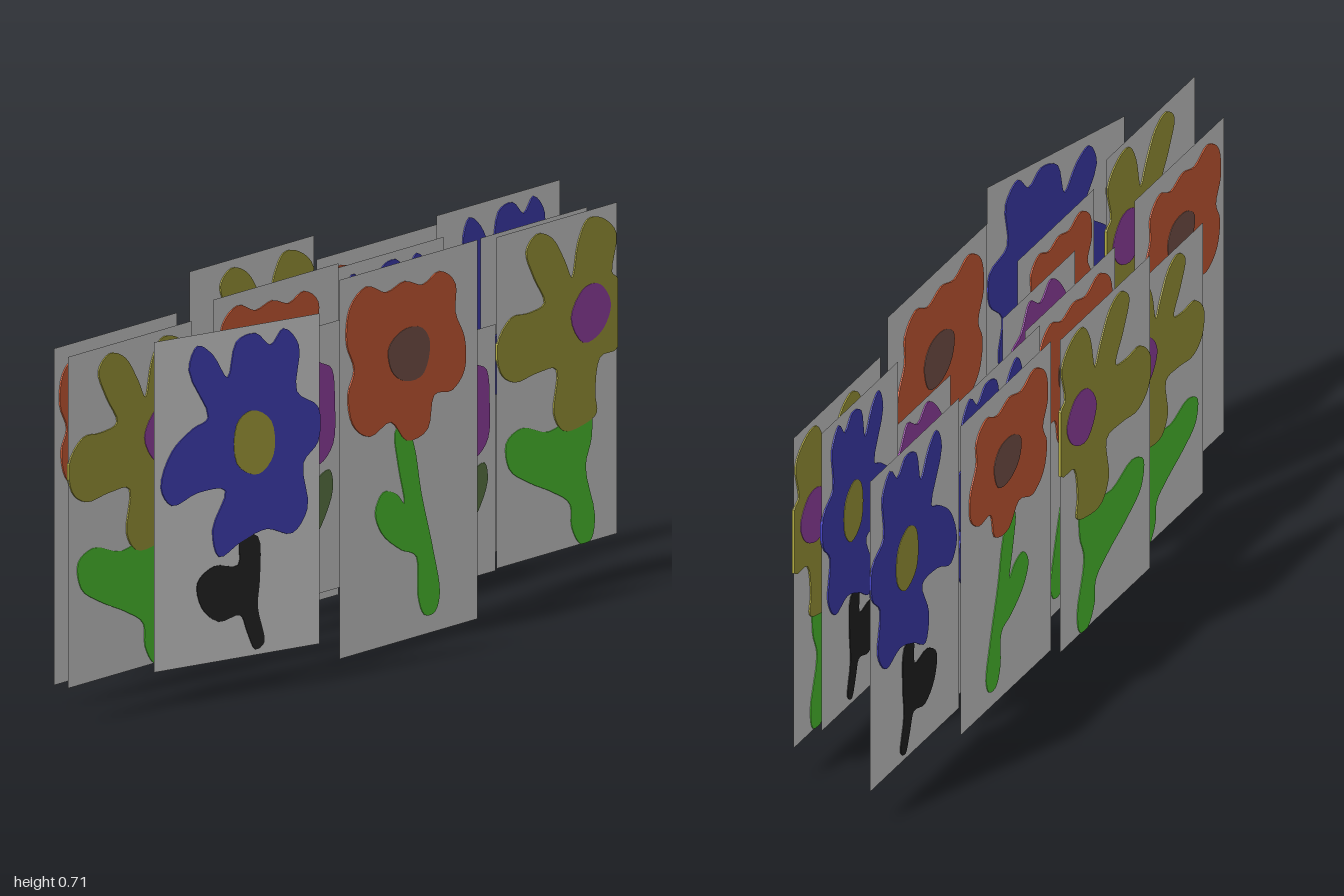
import * as THREE from 'three';

const mat = (name, color) => {
  const m = new THREE.MeshStandardMaterial({ color, side: THREE.DoubleSide });
  m.name = name;
  return m;
};
const paper = mat('paper white', 0xf6f6f6);
const orange = mat('orange', 0xee6c40);
const brown = mat('brown', 0x8a6055);
const green = mat('leaf green', 0x5ade38);
const blue = mat('blue', 0x4846c8);
const yellow = mat('mustard yellow', 0xb4ae42);
const black = mat('black', 0x282828);
const purple = mat('purple', 0xaa4cbc);
const darkGreen = mat('dark green', 0x6c8c52);

// Painted outlines as x, y pairs measured from each card's top left corner
const designs = {
  orange: {
    size: [90, 133],
    colors: [orange, brown, green],
    petals: [6, 11, 17, 5, 30, 9, 42, 7, 54, 10, 65, 7, 75, 13, 75, 23, 81, 33, 81, 44, 73, 50, 61, 50,
      57, 61, 43, 63, 33, 55, 19, 58, 8, 52, 5, 41, 9, 33, 4, 23],
    heart: [31, 29, 40, 24, 53, 25, 58, 31, 54, 41, 42, 42, 33, 37],
    stem: [36, 59, 42, 57, 48, 65, 53, 83, 61, 105, 65, 120, 62, 126, 55, 126, 51, 119, 50, 105, 40, 101,
      27, 93, 23, 85, 28, 79, 37, 81, 42, 85, 38, 71],
  },
  blue: {
    size: [77, 117],
    colors: [blue, yellow, black],
    petals: [16, 12, 20, 4, 27, 8, 34, 17, 38, 5, 47, 3, 54, 8, 60, 3, 67, 10, 66, 26, 76, 33, 76, 45,
      69, 52, 71, 68, 64, 76, 52, 73, 40, 76, 30, 80, 27, 70, 33, 57, 20, 56, 8, 59, 3, 52, 8, 40, 18, 33, 25, 30],
    heart: [38, 34, 45, 30, 54, 35, 55, 47, 48, 53, 38, 48],
    stem: [40, 75, 48, 75, 49, 90, 48, 100, 51, 113, 47, 115, 43, 108, 40, 102, 30, 103, 22, 97, 20, 88,
      28, 83, 39, 84],
  },
  yellow: {
    size: [79, 117],
    colors: [yellow, purple, green],
    petals: [0, 38, 9, 30, 21, 30, 31, 28, 24, 18, 19, 8, 26, 3, 36, 6, 44, 15, 49, 22, 53, 10, 59, 3,
      69, 4, 78, 11, 75, 24, 79, 27, 79, 51, 67, 53, 64, 65, 65, 72, 56, 75, 43, 75, 37, 68, 39, 53, 26, 52,
      11, 53, 2, 48],
    heart: [48, 36, 56, 27, 67, 27, 74, 35, 69, 43, 56, 46],
    stem: [51, 70, 61, 66, 62, 80, 58, 90, 64, 108, 62, 116, 55, 117, 49, 110, 48, 102, 37, 96, 21, 90,
      8, 83, 6, 74, 16, 70, 34, 74],
  },
  purple: {
    size: [66, 93],
    colors: [purple, black, darkGreen],
    petals: [15, 6, 23, 2, 32, 7, 42, 3, 50, 12, 59, 16, 61, 28, 60, 42, 51, 48, 42, 45, 34, 50, 24, 46,
      12, 47, 7, 38, 11, 28, 7, 17],
    heart: [21, 28, 28, 23, 39, 25, 44, 31, 36, 35, 25, 34],
    stem: [29, 47, 36, 47, 38, 62, 48, 54, 58, 51, 60, 58, 52, 70, 41, 78, 40, 88, 34, 89, 30, 82, 22, 76,
      18, 64, 22, 57, 30, 65],
  },
};

// A thin painted plate that straddles the card, so it shows on both sides
function plate(name, pairs, design, w, h, thick, material) {
  const [dw, dh] = design.size;
  const pts = [];
  for (let i = 0; i < pairs.length; i += 2) {
    pts.push(new THREE.Vector3((pairs[i] / dw - 0.5) * w, (1 - pairs[i + 1] / dh) * h, 0));
  }
  const curve = new THREE.CatmullRomCurve3(pts, true, 'centripetal');
  const outline = curve.getPoints(pts.length * 4).slice(0, -1).map((p) =>
    new THREE.Vector2(THREE.MathUtils.clamp(p.x, -w / 2, w / 2), THREE.MathUtils.clamp(p.y, 0, h)));
  const geo = new THREE.ExtrudeGeometry(new THREE.Shape(outline), { depth: thick, bevelEnabled: false });
  geo.translate(0, 0, -thick / 2);
  const mesh = new THREE.Mesh(geo, material);
  mesh.name = name;
  return mesh;
}

// One upright card running from (x0, z0) to (x1, z1)
function flowerCard(kind, x0, z0, x1, z1, y0, y1) {
  const d = designs[kind];
  const w = Math.hypot(x1 - x0, z1 - z0);
  const h = y1 - y0;
  const card = new THREE.Group();
  card.name = kind + 'FlowerCard';
  const sheet = new THREE.Mesh(new THREE.PlaneGeometry(w, h).translate(0, h / 2, 0), paper);
  sheet.name = 'sheet';
  card.add(
    sheet,
    plate('stem', d.stem, d, w, h, 0.003, d.colors[2]),
    plate('petals', d.petals, d, w, h, 0.005, d.colors[0]),
    plate('flowerHeart', d.heart, d, w, h, 0.007, d.colors[1]),
  );
  card.position.set((x0 + x1) / 2, y0, (z0 + z1) / 2);
  card.rotation.y = Math.atan2(z0 - z1, x1 - x0);
  return card;
}

export function createModel() {
  const model = new THREE.Group();
  model.name = 'flowerCards';

  // The one turned card
  model.add(flowerCard('blue', 0.1, 0.78, 0.205, 0.37, 0.07, 0.693));

  // Cards square to x: kind, x, front z, back z, bottom, top
  const cards = [
    ['orange', 0.12, 0.165, -0.315, 0, 0.715],
    ['yellow', 0.08, -0.445, -0.865, 0.07, 0.695],
    ['yellow', 0.05, 1.0, 0.57, 0.07, 0.695],
    ['orange', 0.09, 0.61, 0.24, 0.1, 0.615],
    ['purple', 0.075, -0.12, -0.45, 0.065, 0.53],
    ['purple', 0.02, 0.35, 0.0, 0.1, 0.605],
    ['blue', 0.045, -0.445, -0.815, 0.09, 0.69],
    ['orange', -0.06, 0.875, 0.445, 0.045, 0.68],
    ['orange', -0.1, 0.255, -0.18, 0.045, 0.67],
    ['blue', -0.105, -0.12, -0.555, 0.07, 0.66],
    ['blue', -0.13, -0.57, -1.0, 0.07, 0.695],
    ['yellow', -0.135, 0.595, 0.22, 0.045, 0.59],
    ['orange', -0.16, -0.2, -0.635, 0.045, 0.668],
    ['yellow', -0.203, 0.175, -0.26, 0.07, 0.7],
  ];
  for (const [kind, x, zf, zb, y0, y1] of cards) model.add(flowerCard(kind, x, zf, x, zb, y0, y1));
  return model;
}
